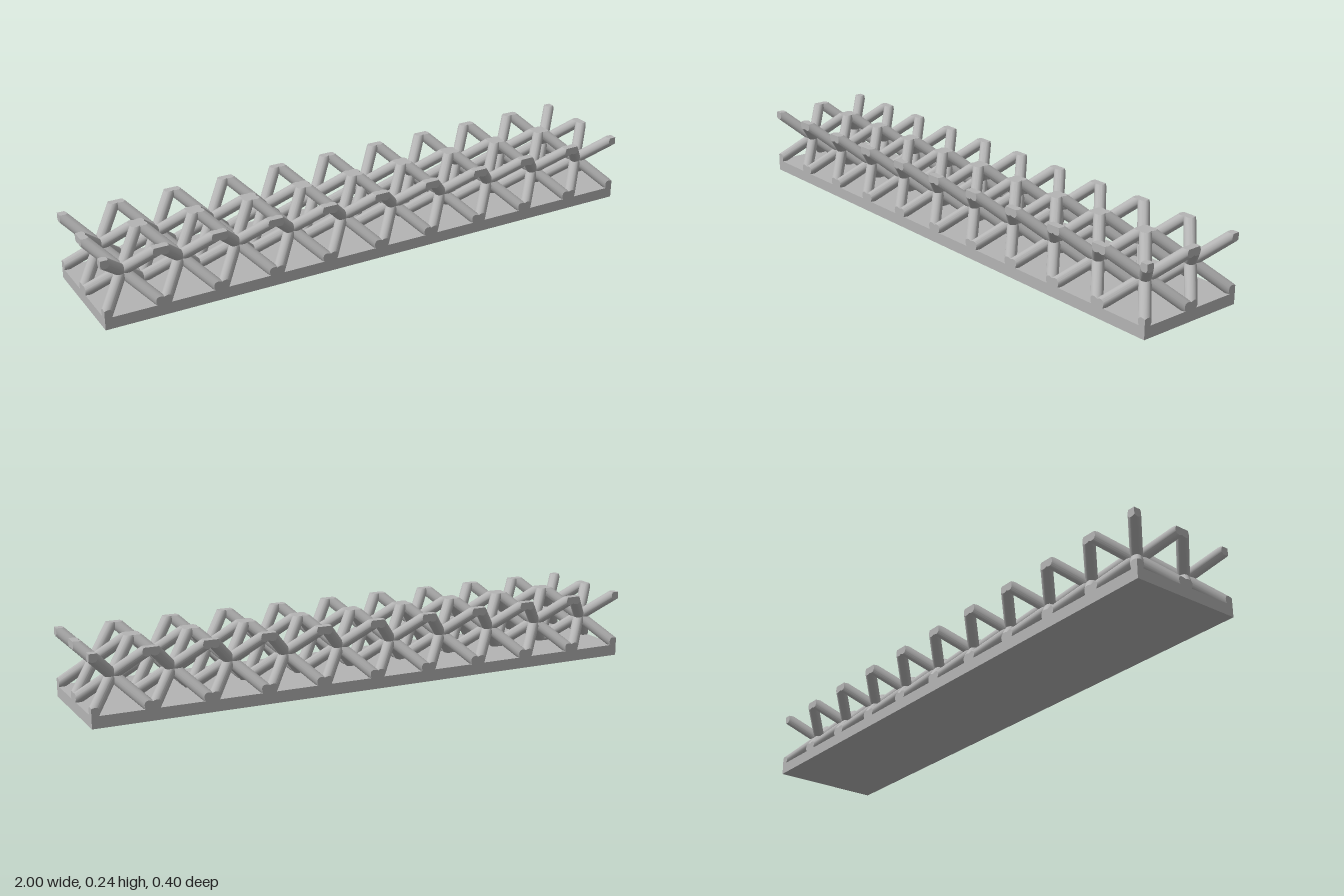
import * as THREE from 'three';
import { mergeGeometries, toCreasedNormals } from 'three/addons/utils/BufferGeometryUtils.js';

const CELL = 0.2, HALF = CELL / 2, RADIUS = 0.02, SIDES = 24;
const COLUMNS = 10, ROWS = 2, BASE_HEIGHT = 0.04;

// Round strut along a cell's body diagonal, trimmed flush to the cell's faces
function strutGeometry() {
  const axis = new THREE.Vector3(1, 1, 1).normalize();
  const u = new THREE.Vector3(1, 1, -2).normalize();
  const v = new THREE.Vector3().crossVectors(axis, u);
  const low = [], high = [];
  for (let i = 0; i <= SIDES; i++) {
    const a = (i / SIDES) * Math.PI * 2;
    const p = new THREE.Vector3()
      .addScaledVector(u, RADIUS * Math.cos(a))
      .addScaledVector(v, RADIUS * Math.sin(a));
    const top = (HALF - Math.max(p.x, p.y, p.z)) / axis.x;
    const bottom = (-HALF - Math.min(p.x, p.y, p.z)) / axis.x;
    high.push(p.clone().addScaledVector(axis, top));
    low.push(p.clone().addScaledVector(axis, bottom));
  }
  const corner = new THREE.Vector3(HALF, HALF, HALF);
  const opposite = corner.clone().negate();
  const points = [];
  for (let i = 0; i < SIDES; i++) {
    const j = i + 1;
    points.push(low[i], low[j], high[j], low[i], high[j], high[i]); // side
    points.push(corner, high[i], high[j]); // pointed ends
    points.push(opposite, low[j], low[i]);
  }
  const geometry = new THREE.BufferGeometry().setFromPoints(points);
  return toCreasedNormals(geometry, 0.4);
}

export function createModel() {
  const model = new THREE.Group();
  model.name = 'latticePanel';
  const grey = new THREE.MeshStandardMaterial({ color: 0xb4b4b4 });
  grey.name = 'grey';

  // Solid base plate
  const base = new THREE.Mesh(
    new THREE.BoxGeometry(COLUMNS * CELL, BASE_HEIGHT, ROWS * CELL), grey);
  base.name = 'basePlate';
  base.position.y = BASE_HEIGHT / 2;
  model.add(base);

  // Four crossing diagonals make one cell
  const strut = strutGeometry();
  const cellGeometry = mergeGeometries(
    [0, 1, 2, 3].map((k) => strut.clone().rotateY((k * Math.PI) / 2)));

  // Grid of cells on the plate
  const lattice = new THREE.Group();
  lattice.name = 'lattice';
  for (let i = 0; i < COLUMNS; i++) {
    for (let j = 0; j < ROWS; j++) {
      const cell = new THREE.Mesh(cellGeometry, grey);
      cell.name = 'latticeCell';
      cell.position.set(
        (i - (COLUMNS - 1) / 2) * CELL,
        BASE_HEIGHT + HALF,
        (j - (ROWS - 1) / 2) * CELL);
      lattice.add(cell);
    }
  }
  model.add(lattice);
  return model;
}
